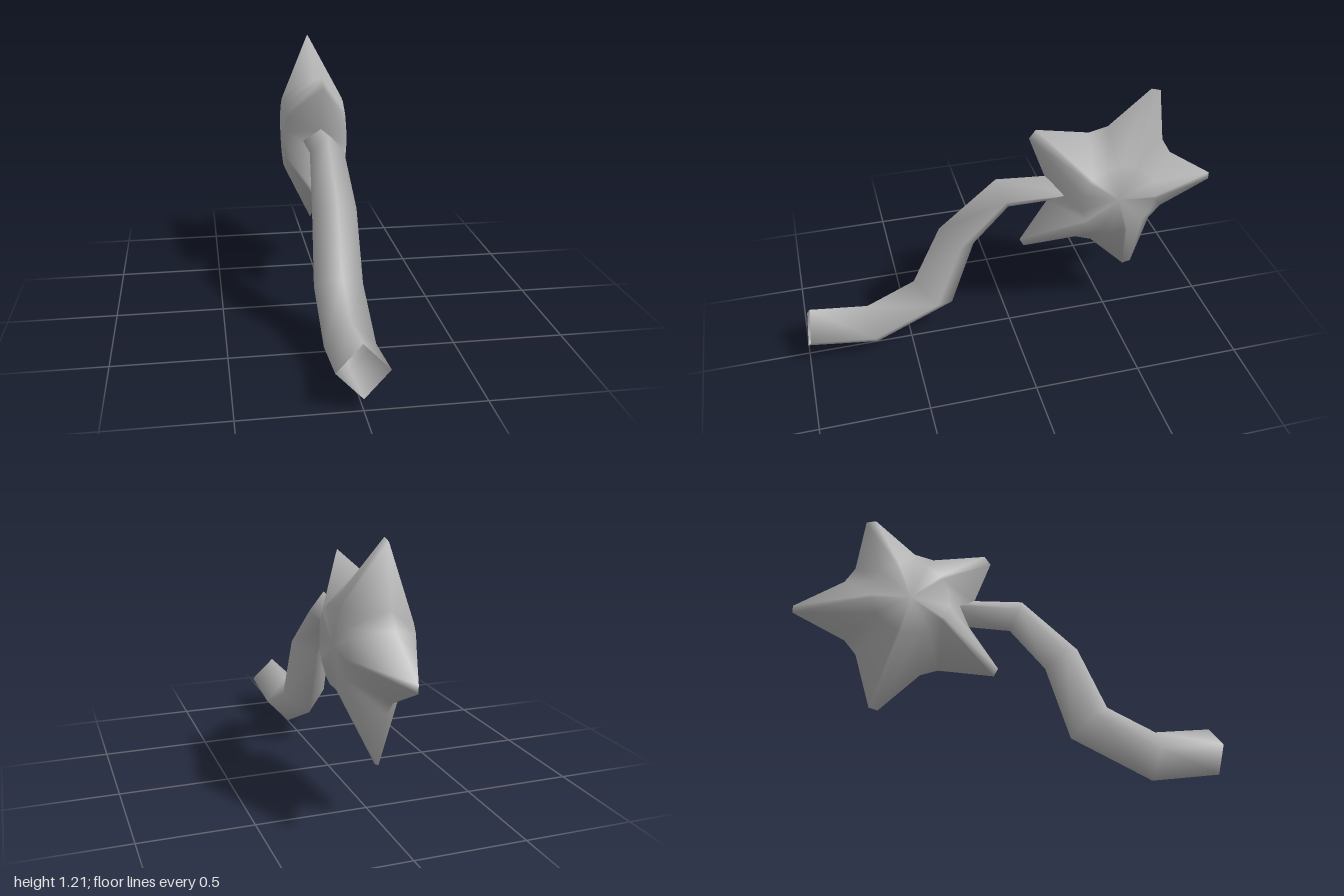
import * as THREE from 'three';

// Skin a series of equal-length loops of [x, y, z] points with smooth normals.
function loft(loops) {
  const n = loops[0].length, index = [];
  for (let k = 0; k < loops.length - 1; k++) {
    for (let i = 0; i < n; i++) {
      const j = (i + 1) % n;
      const a = k * n + i, b = k * n + j, c = a + n, d = b + n;
      index.push(a, d, c, a, b, d);
    }
  }
  return { positions: loops.flat(2), index };
}

function toGeometry({ positions, index }) {
  const g = new THREE.BufferGeometry();
  g.setAttribute('position', new THREE.Float32BufferAttribute(positions, 3));
  g.setIndex(index);
  g.computeVertexNormals();
  return g;
}

export function createModel() {
  const group = new THREE.Group();
  const grey = new THREE.MeshStandardMaterial({ color: 0xb4b4b4, side: THREE.DoubleSide });
  grey.name = 'grey';

  // Bent stem: diamond sections as [top z, top y, bottom z, bottom y, half width]
  const sections = [
    [0.97, 0.27, 1.0, 0.05, 0.11],
    [0.70, 0.235, 0.67, 0.0, 0.11],
    [0.47, 0.34, 0.29, 0.175, 0.11],
    [0.335, 0.625, 0.175, 0.51, 0.10],
    [0.065, 0.85, 0.005, 0.69, 0.08],
    [-0.30, 0.82, -0.30, 0.69, 0.075],
  ];
  const stemLoops = sections.map(([tz, ty, bz, by, w]) => {
    const y = (ty + by) / 2, z = (tz + bz) / 2;
    return [[0, ty, tz], [w, y, z], [0, by, bz], [-w, y, z]];
  });
  const stem = new THREE.Mesh(toGeometry(loft(stemLoops)), grey);
  stem.name = 'stem';
  group.add(stem);

  // Puffed star: blunt tips and valleys as [z, y] on the middle plane
  const outline = [
    [-0.655, 1.213], [-0.70, 1.20], [-0.735, 0.94], [-0.78, 0.865],
    [-1.0, 0.715], [-1.0, 0.68], [-0.76, 0.565], [-0.705, 0.50],
    [-0.63, 0.25], [-0.59, 0.24], [-0.41, 0.425], [-0.33, 0.455],
    [-0.07, 0.45], [-0.05, 0.49], [-0.19, 0.69], [-0.17, 0.82],
    [-0.09, 1.04], [-0.12, 1.08], [-0.37, 1.03], [-0.46, 1.05],
  ];
  const cz = -0.482, cy = 0.74, radius = 0.18, half = 0.148;
  // Round edge of each flat side, in line with the outline points
  const rim = (x) => outline.map(([z, y]) => {
    const s = radius / Math.hypot(z - cz, y - cy);
    return [x, cy + (y - cy) * s, cz + (z - cz) * s];
  });
  const data = loft([rim(half), outline.map(([z, y]) => [0, y, z]), rim(-half)]);
  // Close both sides with a fan
  const n = outline.length, left = 3 * n, right = left + 1;
  data.positions.push(half, cy, cz, -half, cy, cz);
  for (let i = 0; i < n; i++) {
    const j = (i + 1) % n;
    data.index.push(left, j, i, right, 2 * n + i, 2 * n + j);
  }
  const star = new THREE.Mesh(toGeometry(data), grey);
  star.name = 'star';
  group.add(star);

  return group;
}
